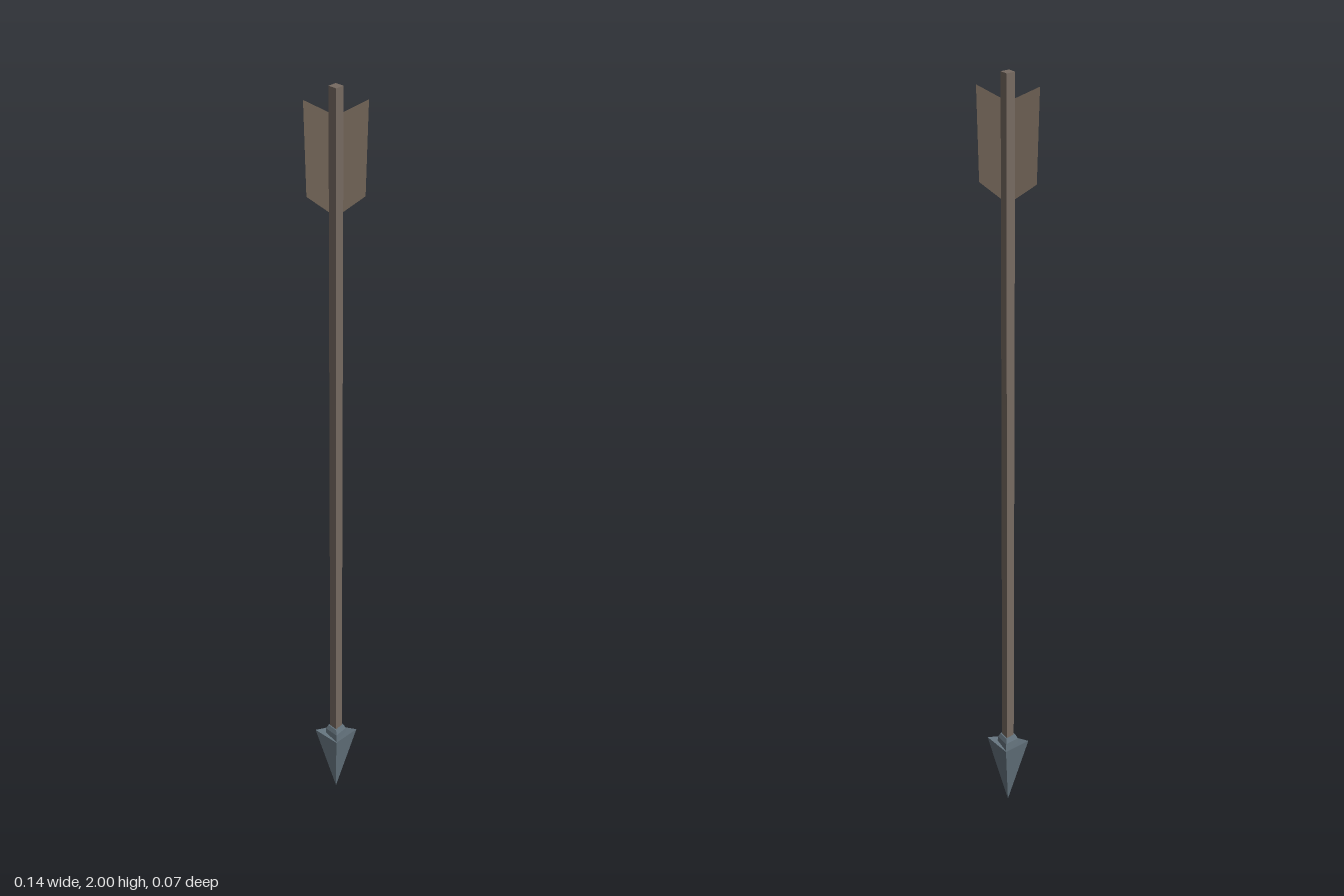
import * as THREE from 'three';

const wood = new THREE.MeshStandardMaterial({ color: 0x766a61 });
wood.name = 'shaftWood';
const feather = new THREE.MeshStandardMaterial({ color: 0x786a5c, side: THREE.DoubleSide });
feather.name = 'featherBrown';
const steel = new THREE.MeshStandardMaterial({ color: 0x64737d });
steel.name = 'steelBlue';

// Split the faces so every facet is flat
function faceted(geometry) {
  const g = geometry.toNonIndexed();
  g.computeVertexNormals();
  return g;
}

// Four-sided diamond section between two heights; radii are the z half-widths
function diamond(bottom, top, y0, y1, xScale) {
  const g = new THREE.CylinderGeometry(top, bottom, y1 - y0, 4);
  g.scale(xScale, 1, 1);
  g.translate(0, (y0 + y1) / 2, 0);
  return g;
}

export function createModel() {
  const arrow = new THREE.Group();
  arrow.name = 'arrow';
  const add = (name, geometry, material) => {
    const mesh = new THREE.Mesh(geometry, material);
    mesh.name = name;
    arrow.add(mesh);
  };

  add('shaft', faceted(diamond(0.0185, 0.0185, 0.2, 2, 0.86)), wood);

  // Head: point down, with its side barbs raised above the rest of the top
  const head = diamond(0, 0.035, 0, 0.19, 1.6);
  const p = head.attributes.position;
  for (let i = 0; i < p.count; i++) {
    if (p.getY(i) > 0.1) p.setY(i, 0.19 + 0.017 * Math.abs(p.getX(i)) / 0.056);
  }
  add('arrowhead', faceted(head), steel);

  // Socket that grips the shaft, with a chamfered rim
  add('socket', faceted(diamond(0.033, 0.03, 0.18, 0.212, 0.9)), steel);
  add('socketRim', faceted(diamond(0.03, 0.023, 0.212, 0.224, 0.9)), steel);

  // Flat feather vanes on both sides
  for (const s of [-1, 1]) {
    const outline = [[0, 1.705], [0.065, 1.753], [0.07, 1.97], [0, 1.935]];
    const shape = new THREE.Shape(outline.map(([x, y]) => new THREE.Vector2(s * x, y)));
    add(s > 0 ? 'leftVane' : 'rightVane', new THREE.ShapeGeometry(shape), feather);
  }
  return arrow;
}
